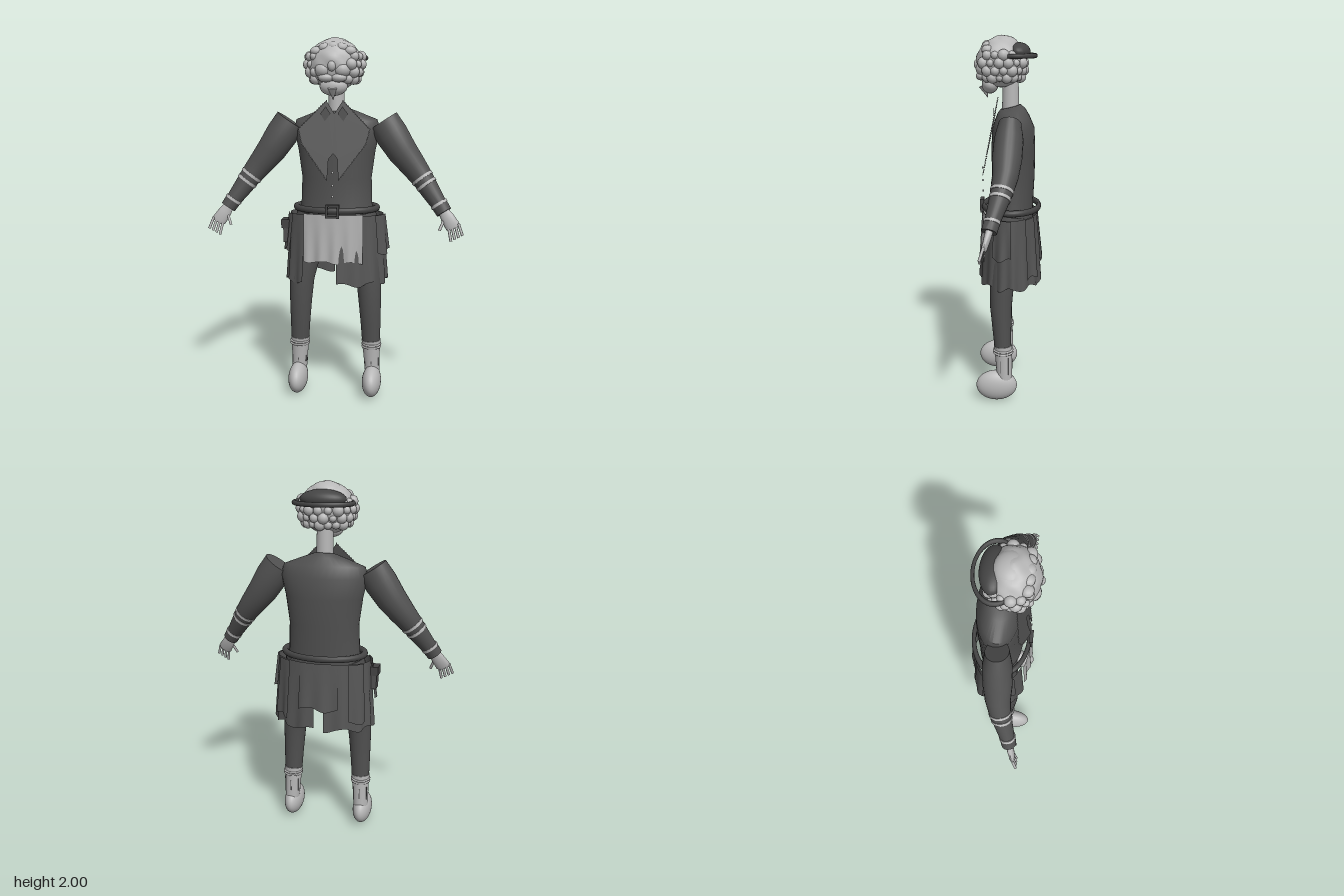
import * as THREE from 'three';
import { toCreasedNormals } from 'three/addons/utils/BufferGeometryUtils.js';

const mat = (name, color, side = THREE.FrontSide) => {
  const m = new THREE.MeshStandardMaterial({ color, side });
  m.name = name;
  return m;
};

// Closed skin over elliptical rings [x, y, z, halfWidth, halfDepth]
function loft(rings, sides = 24) {
  const pos = [], idx = [], n = rings.length;
  const c = rings.map(r => new THREE.Vector3(r[0], r[1], r[2]));
  rings.forEach((r, i) => {
    const t = c[Math.min(i + 1, n - 1)].clone().sub(c[Math.max(i - 1, 0)]).normalize();
    const u = t.clone().cross(new THREE.Vector3(0, 0, 1)).normalize();
    const v = t.clone().cross(u);
    for (let j = 0; j < sides; j++) {
      const a = j / sides * Math.PI * 2;
      const p = c[i].clone().addScaledVector(u, r[3] * Math.cos(a)).addScaledVector(v, r[4] * Math.sin(a));
      pos.push(p.x, p.y, p.z);
    }
  });
  for (let i = 0; i < n - 1; i++) for (let j = 0; j < sides; j++) {
    const k = (j + 1) % sides, a = i * sides + j, b = i * sides + k;
    idx.push(a, b, b + sides, a, b + sides, a + sides);
  }
  const last = (n - 1) * sides;
  for (let j = 1; j < sides - 1; j++) idx.push(0, j + 1, j, last, last + j, last + j + 1);
  const g = new THREE.BufferGeometry();
  g.setAttribute('position', new THREE.Float32BufferAttribute(pos, 3));
  g.setIndex(idx);
  return toCreasedNormals(g, 0.9);
}

// Open sheet from a rule (u, v) -> [x, y, z]
function sheet(rule, nu, nv) {
  const g = new THREE.PlaneGeometry(1, 1, nu, nv), p = g.attributes.position;
  for (let i = 0; i < p.count; i++) p.setXYZ(i, ...rule(p.getX(i) + 0.5, 0.5 - p.getY(i)));
  g.computeVertexNormals();
  return g;
}

export function createModel() {
  const root = new THREE.Group();
  const skin = mat('pale grey', 0xb8b8b8);
  const apronMat = mat('apron grey', 0xb0b0b0, THREE.DoubleSide);
  const coat = mat('coat grey', 0x505050);
  const cloth = mat('cloth grey', 0x555555, THREE.DoubleSide);
  const dark = mat('dark grey', 0x444444);
  const add = (name, geo, m, x = 0, y = 0, z = 0) => {
    const mesh = new THREE.Mesh(geo, m);
    mesh.name = name;
    mesh.position.set(x, y, z);
    root.add(mesh);
    return mesh;
  };
  const ball = (name, m, x, y, z, rx, ry, rz, seg = 20) =>
    add(name, new THREE.SphereGeometry(1, seg, Math.ceil(seg * 0.7)).scale(rx, ry, rz), m, x, y, z);

  // Lumpy head
  const head = new THREE.SphereGeometry(1, 48, 32), hp = head.attributes.position;
  for (let i = 0; i < hp.count; i++) {
    const x = hp.getX(i), y = hp.getY(i), z = hp.getZ(i);
    const k = 1 + 0.04 * Math.sin(7 * x + 1.6) * Math.sin(8 * y) * Math.cos(6 * z);
    hp.setXYZ(i, x * k * 0.148, y * k * 0.135, z * k * 0.132);
  }
  head.computeVertexNormals();
  add('head', head, skin, 0, 1.862, 0.045);
  // Curls around the sides and back, and over the brow
  for (let row = 0; row < 4; row++) for (let i = 0; i < 13; i++) {
    const a = 0.75 + (i + (row % 2) * 0.5) / 13 * 4.9;
    const e = -0.62 + row * 0.3, r = 0.026 + 0.006 * Math.sin(i * 2.3 + row);
    ball('curl', skin, Math.sin(a) * Math.cos(e) * 0.142, 1.862 + Math.sin(e) * 0.135,
      0.045 + Math.cos(a) * Math.cos(e) * 0.125, r, r, r, 12);
  }
  for (let i = -2; i <= 2; i++)
    ball('browCurl', skin, i * 0.045, 1.95 - 0.006 * i * i, 0.115, 0.034, 0.026, 0.032, 12);
  ball('crown', skin, 0, 1.945, 0.03, 0.09, 0.055, 0.08);
  ball('nose', skin, 0, 1.85, 0.172, 0.022, 0.028, 0.02, 12);
  for (const s of [-1, 1]) {
    ball('cheek', skin, s * 0.05, 1.83, 0.14, 0.045, 0.04, 0.04, 14);
    ball('moustache', skin, s * 0.035, 1.79, 0.15, 0.042, 0.024, 0.03, 14);
  }
  ball('beard', skin, 0, 1.745, 0.105, 0.075, 0.05, 0.045);
  const tip = add('beardTip', new THREE.ConeGeometry(0.025, 0.07, 14), skin, 0, 1.705, 0.13);
  tip.rotation.x = Math.PI + 0.35;

  // Cap with its ring brim
  ball('cap', dark, 0, 1.915, -0.045, 0.125, 0.05, 0.066, 28);
  const brim = add('capRing', new THREE.TorusGeometry(0.157, 0.013, 10, 48).scale(1, 0.68, 1), dark, 0, 1.895, -0.033);
  brim.rotation.x = Math.PI / 2;

  // Neck and torso
  add('neck', new THREE.CylinderGeometry(0.043, 0.046, 0.16, 24), skin, 0, 1.69, -0.005);
  add('torso', loft([[0, 1.03, -0.01, 0.21, 0.12], [0, 1.1, -0.015, 0.2, 0.115], [0, 1.25, -0.02, 0.195, 0.118],
    [0, 1.4, -0.02, 0.215, 0.12], [0, 1.51, -0.02, 0.24, 0.115], [0, 1.565, -0.015, 0.225, 0.095],
    [0, 1.605, -0.01, 0.12, 0.075], [0, 1.625, -0.005, 0.06, 0.055]], 36), coat);

  // Belt and buckle
  const belt = add('belt', new THREE.TorusGeometry(0.225, 0.018, 12, 56).scale(1, 0.68, 1), dark, 0, 1.08, -0.01);
  belt.rotation.x = Math.PI / 2;
  for (const s of [-1, 1]) {
    add('buckleBar', new THREE.BoxGeometry(0.07, 0.012, 0.02), dark, 0, 1.08 + s * 0.031, 0.153);
    add('buckleSide', new THREE.BoxGeometry(0.012, 0.074, 0.02), dark, s * 0.031, 1.08, 0.153);
  }
  for (const y of [1.16, 1.22, 1.29]) ball('button', skin, 0, y, 0.148, 0.007, 0.007, 0.005, 8);

  // Broad lapels leaning forward, with a beaded trim
  const lean = y => 0.062 + (1.68 - y) * 0.2;
  for (const s of [-1, 1]) {
    const outline = [[0.045, 1.67], [0.195, 1.52], [0.175, 1.44], [0.03, 1.245], [0.025, 1.36], [0, 1.39], [0, 1.6]];
    const g = new THREE.ShapeGeometry(new THREE.Shape(outline.map(p => new THREE.Vector2(s * p[0], p[1]))));
    const p = g.attributes.position;
    for (let i = 0; i < p.count; i++) p.setZ(i, lean(p.getY(i)));
    g.computeVertexNormals();
    add('lapel', g, cloth);
    for (let e = 0; e < 3; e++) {
      const [a, b] = [outline[e], outline[e + 1]];
      const n = Math.round(Math.hypot(b[0] - a[0], b[1] - a[1]) / 0.014);
      for (let i = 0; i < n; i++) {
        const x = a[0] + (b[0] - a[0]) * i / n, y = a[1] + (b[1] - a[1]) * i / n;
        ball('trimBead', skin, s * x, y, lean(y), 0.0035, 0.0035, 0.0035, 6);
      }
    }
    // Small standing collar points
    const col = new THREE.ShapeGeometry(new THREE.Shape([[0.045, 1.64], [0.075, 1.6], [0.05, 1.56], [0.02, 1.6]]
      .map(q => new THREE.Vector2(s * q[0], q[1]))));
    add('collarPoint', col, cloth, 0, 0, 0.087);
  }

  for (const s of [-1, 1]) {
    // Sleeve, flat at the shoulder
    add('sleeve', loft([[s * 0.257, 1.557, -0.005, 0.087, 0.06], [s * 0.305, 1.485, 0, 0.09, 0.075],
      [s * 0.365, 1.395, 0.008, 0.082, 0.076], [s * 0.425, 1.32, 0.015, 0.071, 0.066],
      [s * 0.48, 1.25, 0.032, 0.06, 0.056], [s * 0.535, 1.17, 0.06, 0.05, 0.045], [s * 0.585, 1.1, 0.085, 0.04, 0.036]]), coat);
    // Sleeve stripes and cuff
    add('sleeveStripe', loft([[s * 0.472, 1.26, 0.03, 0.064, 0.06], [s * 0.481, 1.248, 0.033, 0.063, 0.059]]), skin);
    add('sleeveStripe', loft([[s * 0.495, 1.228, 0.04, 0.06, 0.056], [s * 0.504, 1.216, 0.043, 0.059, 0.055]]), skin);
    add('cuffStripe', loft([[s * 0.566, 1.128, 0.077, 0.048, 0.043], [s * 0.574, 1.116, 0.08, 0.048, 0.043]]), skin);
    add('cuff', loft([[s * 0.574, 1.116, 0.08, 0.045, 0.041], [s * 0.598, 1.08, 0.09, 0.043, 0.039]]), coat);
    // Hand with fingers
    add('palm', loft([[s * 0.592, 1.09, 0.088, 0.028, 0.02], [s * 0.615, 1.055, 0.098, 0.036, 0.018],
      [s * 0.645, 1.01, 0.112, 0.04, 0.015], [s * 0.652, 0.997, 0.115, 0.03, 0.01]], 16), skin);
    const finger = (a, b) => add('finger', new THREE.TubeGeometry(new THREE.LineCurve3(
      new THREE.Vector3(s * a[0], a[1], a[2]), new THREE.Vector3(s * b[0], b[1], b[2])), 1, 0.0075, 8), skin);
    for (let i = 0; i < 4; i++)
      finger([0.625 + i * 0.017, 0.995 + i * 0.01, 0.115], [0.638 + i * 0.02, 0.93 + i * 0.011, 0.135]);
    finger([0.6, 1.045, 0.1], [0.575, 0.985, 0.125]);

    // Trouser leg, sock with bands, rounded shoe
    add('trouserLeg', loft([[s * 0.205, 0.31, 0.035, 0.051, 0.046], [s * 0.202, 0.42, 0.04, 0.056, 0.052],
      [s * 0.197, 0.55, 0.045, 0.063, 0.06], [s * 0.19, 0.68, 0.04, 0.07, 0.066],
      [s * 0.165, 0.85, 0.02, 0.088, 0.08], [s * 0.125, 1.04, 0, 0.1, 0.09]]), coat);
    add('sock', loft([[s * 0.212, 0.13, 0.025, 0.042, 0.042], [s * 0.208, 0.24, 0.03, 0.047, 0.046],
      [s * 0.205, 0.325, 0.035, 0.054, 0.05]]), skin);
    for (const y of [0.285, 0.3])
      add('sockBand', new THREE.TorusGeometry(0.051, 0.006, 8, 28).rotateX(Math.PI / 2), skin, s * 0.207, y, 0.033);
    for (let i = 0; i < 6; i++)
      add('sockCrease', new THREE.BoxGeometry(0.004, 0.06 + 0.02 * (i % 3), 0.004), coat,
        s * 0.21 + Math.sin(i * 1.05) * 0.045, 0.215, 0.027 + Math.cos(i * 1.05) * 0.044);
    ball('shoe', skin, s * 0.213, 0.088, 0.07, 0.054, 0.087, 0.114, 32);
  }

  // Coat skirt: wavy panels split at the front and back
  const panel = (name, a0, a1, top, bottom, out = 0) => add(name, sheet((u, v) => {
    const a = a0 + (a1 - a0) * u, k = 1 + 0.028 * v * Math.sin(a * 16) + 0.01 * Math.sin(a * 5);
    return [(0.262 + 0.022 * v + out) * k * Math.sin(a), top + (bottom + 0.012 * Math.sin(a * 9) - top) * v,
      (0.148 + 0.025 * v + out) * k * Math.cos(a) - 0.005];
  }, 60, 8), cloth);
  panel('skirtLeft', 0.08, 3.06, 1.05, 0.67);
  panel('skirtRight', -0.64, -3.02, 1.05, 0.67);
  panel('skirtBack', 2.75, 3.55, 1.05, 0.79, 0.004);
  // Overlaid side flaps
  for (const s of [-1, 1]) {
    panel('sideFlap', s * 1.0, s * 1.6, 1.05, 0.84, 0.01);
    panel('backFlap', s * 2.1, s * 2.5, 1.05, 0.72, 0.012);
  }

  // Apron
  add('apron', sheet((u, v) => {
    const x = (u - 0.5) * 0.33;
    return [x, 1.06 - v * (0.265 + 0.006 * Math.sin(u * 14)), 0.152 + 0.012 * v + 0.007 * v * Math.sin(u * 26) - 1.0 * x * x];
  }, 40, 6), apronMat);

  // Hip pouch
  add('pouch', new THREE.BoxGeometry(0.04, 0.1, 0.06), coat, -0.275, 0.93, 0.02);
  add('pouchFlap', new THREE.BoxGeometry(0.05, 0.05, 0.07), dark, -0.28, 0.985, 0.02);

  return root;
}
